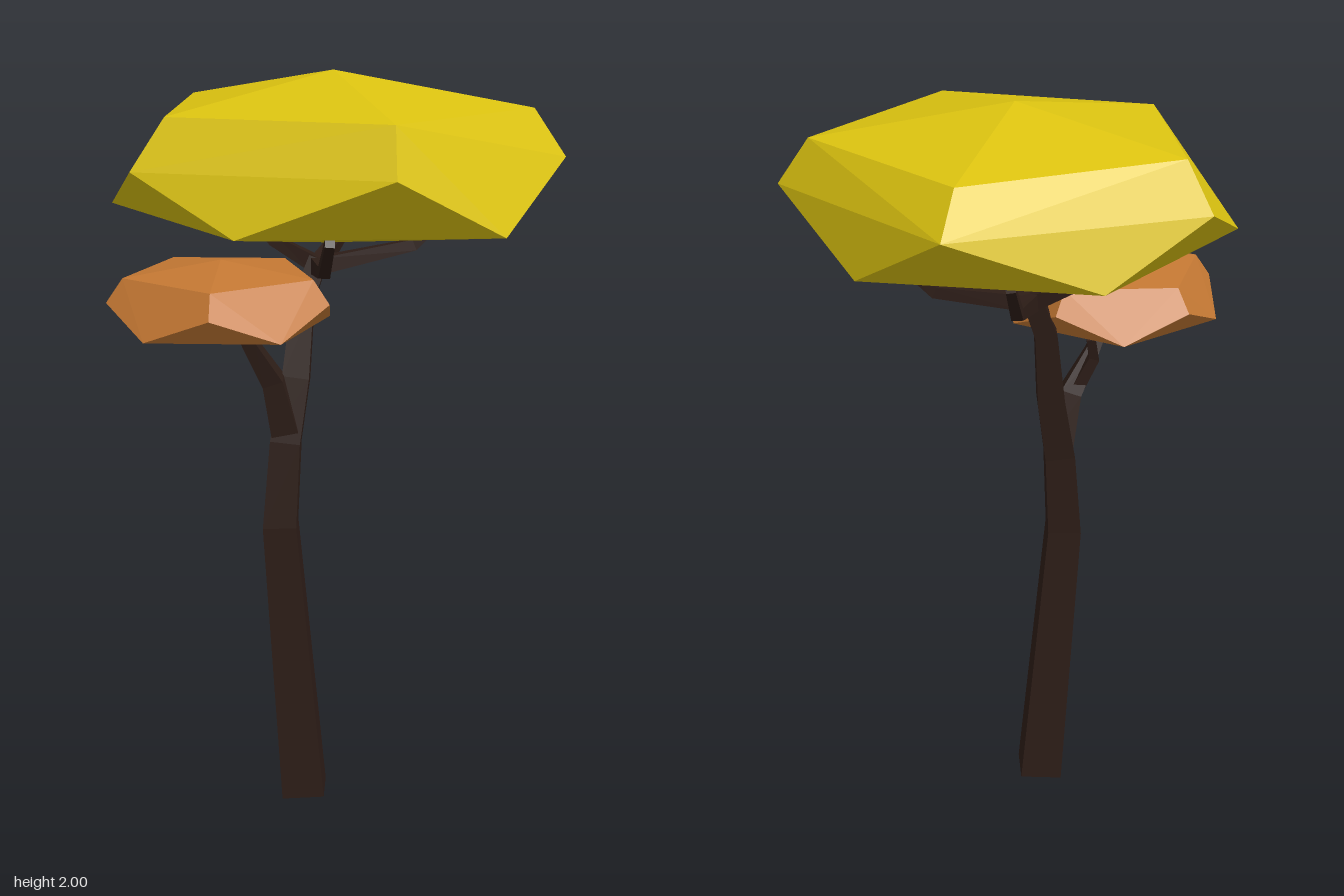
import * as THREE from 'three';
import { ConvexGeometry } from 'three/addons/geometries/ConvexGeometry.js';

const paint = (color) => new THREE.MeshStandardMaterial({ color, flatShading: true });
const bark = paint(0x2d1d17);
const yellowLeaf = paint(0xdcc310);
const orangeLeaf = paint(0xc47833);

// Square-section limb through stations [x, y, z, half width]
function limb(name, stations) {
  const pts = stations.map(([x, y, z]) => new THREE.Vector3(x, y, z));
  const last = pts.length - 1;
  const span = pts[last].clone().sub(pts[0]).normalize();
  const ref = Math.abs(span.x) > 0.6 ? new THREE.Vector3(0, 0, 1) : new THREE.Vector3(1, 0, 0);
  const pos = [];
  const index = [];
  pts.forEach((p, i) => {
    const t = pts[Math.min(i + 1, last)].clone().sub(pts[Math.max(i - 1, 0)]).normalize();
    const u = ref.clone().addScaledVector(t, -ref.dot(t)).normalize();
    const v = t.clone().cross(u);
    const h = stations[i][3];
    for (const [a, b] of [[1, 1], [-1, 1], [-1, -1], [1, -1]]) {
      const c = p.clone().addScaledVector(u, a * h).addScaledVector(v, b * h);
      pos.push(c.x, c.y, c.z);
    }
    if (i === last) return;
    for (let k = 0; k < 4; k++) {
      const a = i * 4 + k;
      const b = i * 4 + (k + 1) % 4;
      index.push(a, b, b + 4, a, b + 4, a + 4);
    }
  });
  // End caps
  const e = last * 4;
  index.push(0, 2, 1, 0, 3, 2, e, e + 1, e + 2, e, e + 2, e + 3);
  const indexed = new THREE.BufferGeometry();
  indexed.setAttribute('position', new THREE.Float32BufferAttribute(pos, 3));
  indexed.setIndex(index);
  const geo = indexed.toNonIndexed();
  geo.computeVertexNormals();
  const mesh = new THREE.Mesh(geo, bark);
  mesh.name = name;
  return mesh;
}

// Faceted leaf mass: the convex hull of its corner points
function crown(name, points, material) {
  const mesh = new THREE.Mesh(new ConvexGeometry(points.map((p) => new THREE.Vector3(...p))), material);
  mesh.name = name;
  return mesh;
}

// Five corners round a centre, starting at the given angle from +z
function ring(cx, cz, y, radius, start) {
  return Array.from({ length: 5 }, (_, i) => {
    const a = start + (i * Math.PI * 2) / 5;
    return [cx + Math.sin(a) * radius, y, cz + Math.cos(a) * radius];
  });
}

export function createModel() {
  const tree = new THREE.Group();
  tree.name = 'tree';

  // Bent trunk and the side branch with its twig
  tree.add(limb('trunk', [
    [-0.09, 0.006, 0.055, 0.058], [-0.15, 0.8, 0.05, 0.045], [-0.135, 1.03, 0.035, 0.04],
    [-0.108, 1.2, 0.008, 0.036], [-0.09, 1.4, -0.028, 0.029], [-0.05, 1.51, -0.045, 0.025],
  ]));
  tree.add(limb('sideBranch', [
    [-0.135, 1.06, 0.04, 0.036], [-0.165, 1.2, 0.055, 0.028],
    [-0.225, 1.31, 0.08, 0.018], [-0.265, 1.4, 0.1, 0.013],
  ]));
  tree.add(limb('sideTwig', [
    [-0.165, 1.18, 0.055, 0.018], [-0.225, 1.3, 0.045, 0.014], [-0.215, 1.36, 0.03, 0.012],
  ]));

  // Four kinked branches spreading under the main crown
  const elbowsAndTips = [
    [[0.2, 1.54, -0.09], [0.28, 1.62, -0.1]],
    [[0.0, 1.535, -0.27], [0.02, 1.62, -0.33]],
    [[-0.17, 1.55, -0.08], [-0.24, 1.62, -0.1]],
    [[-0.02, 1.535, 0.27], [0.0, 1.63, 0.39]],
  ];
  for (const [elbow, tip] of elbowsAndTips) {
    tree.add(limb('upperBranch', [[-0.05, 1.49, -0.045, 0.022], [...elbow, 0.015], [...tip, 0.012]]));
  }

  // Main crown: top, shoulder ring, widest ring, lower ring, bottom
  tree.add(crown('mainCrown', [
    [-0.01, 2, -0.02],
    [-0.4, 1.915, -0.28], [0.155, 1.905, -0.46], [0.5, 1.91, 0.01], [0.155, 1.92, 0.48], [-0.4, 1.915, 0.3],
    [-0.46, 1.79, -0.33], [0.19, 1.8, -0.545], [0.582, 1.79, 0.03], [0.16, 1.8, 0.545], [-0.48, 1.79, 0.35],
    [-0.585, 1.66, 0], [-0.19, 1.645, -0.465], [0.39, 1.635, -0.29], [0.42, 1.64, 0.36], [-0.22, 1.65, 0.477],
    [-0.03, 1.553, -0.04],
  ], yellowLeaf));

  // Small side crown with the same rings
  const [cx, cz] = [-0.285, 0.175];
  tree.add(crown('sideCrown', [
    [cx, 1.547, cz],
    ...ring(cx, cz, 1.513, 0.25, 0),
    ...ring(cx, cz, 1.453, 0.293, 0),
    ...ring(cx, cz, 1.385, 0.285, Math.PI / 5),
    [cx, 1.342, cz],
  ], orangeLeaf));

  return tree;
}
